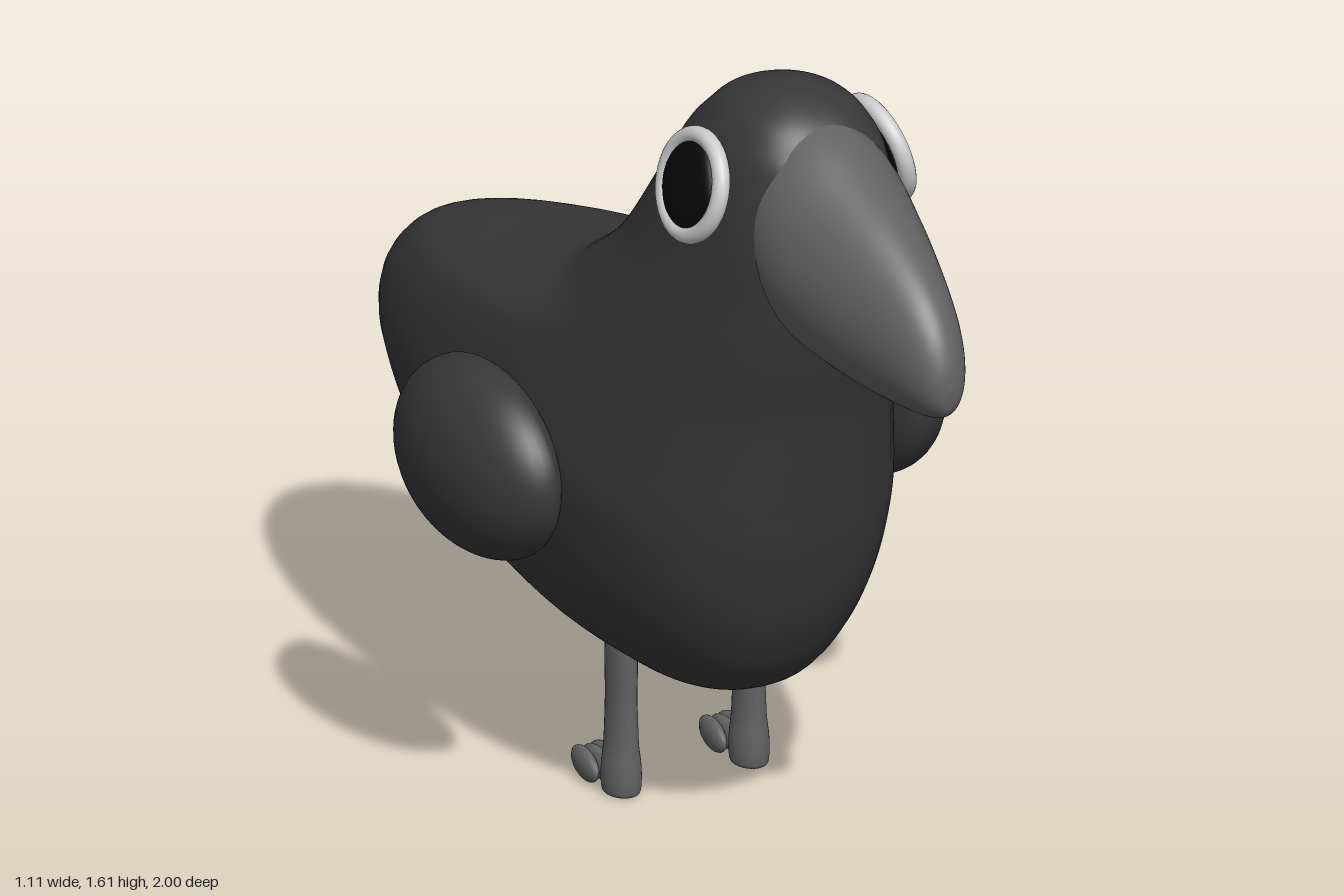
import * as THREE from 'three';

const mat = (color) => new THREE.MeshStandardMaterial({ color, roughness: 0.8 });
const dark = mat(0x383838), horn = mat(0x626262), white = mat(0xdddddd), black = mat(0x080808);

function mesh(name, geometry, material) {
  const m = new THREE.Mesh(geometry, material);
  m.name = name;
  return m;
}

// Smooth skin through rings; point(row, angle) gives a Vector3, rows are splined first
function loft(rows, rings, sides, point) {
  const a = new THREE.CatmullRomCurve3(rows.map((r) => new THREE.Vector3(r[0], r[1], r[2])), false, 'catmullrom', 0.5);
  const b = new THREE.CatmullRomCurve3(rows.map((r) => new THREE.Vector3(r[3], r[4] ?? 0, 0)), false, 'catmullrom', 0.5);
  const pos = [], index = [];
  for (let i = 0; i <= rings; i++) {
    const p = a.getPoint(i / rings), q = b.getPoint(i / rings);
    const row = [p.x, p.y, p.z, Math.max(q.x, 0), q.y];
    for (let j = 0; j < sides; j++) {
      pos.push(...point(row, (j / sides) * Math.PI * 2).toArray());
      if (i === rings) continue;
      const k = (j + 1) % sides, s = i * sides, t = s + sides;
      index.push(s + j, s + k, t + j, s + k, t + k, t + j);
    }
  }
  const g = new THREE.BufferGeometry();
  g.setAttribute('position', new THREE.Float32BufferAttribute(pos, 3));
  g.setIndex(index);
  g.computeVertexNormals();
  return g;
}

// Body and head: horizontal slices [y, front z, back z, half width, z of widest point]
function makeBody() {
  const rows = [
    [0.25, 0.03, 0.03, 0, 0.03], [0.265, 0.18, -0.13, 0.09, 0.02], [0.3, 0.3, -0.32, 0.15, 0],
    [0.36, 0.37, -0.53, 0.22, -0.03], [0.45, 0.425, -0.75, 0.28, -0.05], [0.55, 0.465, -0.89, 0.315, -0.05],
    [0.66, 0.495, -0.975, 0.333, -0.05], [0.74, 0.51, -1, 0.335, -0.05], [0.82, 0.525, -0.97, 0.323, -0.04],
    [0.9, 0.54, -0.87, 0.308, -0.02], [0.95, 0.55, -0.71, 0.298, 0], [0.99, 0.56, -0.5, 0.288, 0.05],
    [1.04, 0.575, -0.29, 0.275, 0.12], [1.1, 0.59, -0.18, 0.26, 0.18], [1.19, 0.61, -0.07, 0.235, 0.25],
    [1.33, 0.62, 0.035, 0.208, 0.33], [1.47, 0.59, 0.14, 0.178, 0.36], [1.53, 0.55, 0.2, 0.15, 0.375],
    [1.57, 0.51, 0.25, 0.115, 0.38], [1.6, 0.45, 0.33, 0.055, 0.39], [1.61, 0.39, 0.39, 0, 0.39],
  ];
  return mesh('body', loft(rows, 120, 64, ([y, front, back, half, mid], u) => {
    const c = Math.cos(u), s = -Math.sin(u);
    const e = s > 0 ? 2 / 2.4 : 1; // blunter chest, elliptical tail
    const x = half * Math.sign(c) * Math.abs(c) ** e;
    const z = mid + Math.abs(s) ** e * (s > 0 ? front - mid : back - mid);
    return new THREE.Vector3(x, y, z);
  }), dark);
}

// Beak: upright slices [z, top y, bottom y, half width]
function makeBeak() {
  const rows = [
    [0.42, 1.58, 1.13, 0.15], [0.55, 1.55, 1.108, 0.165], [0.68, 1.487, 1.09, 0.142], [0.8, 1.422, 1.084, 0.11],
    [0.9, 1.352, 1.088, 0.08], [0.96, 1.285, 1.098, 0.055], [0.99, 1.222, 1.12, 0.03], [1, 1.165, 1.165, 0],
  ];
  return mesh('beak', loft(rows, 56, 48, ([z, top, bottom, half], u) => new THREE.Vector3(
    half * Math.cos(u), (top + bottom) / 2 + ((top - bottom) / 2) * Math.sin(u), z)), horn);
}

// Wing: egg-shaped pad, flatter on the side facing the body
function makeWing(side) {
  const g = new THREE.SphereGeometry(1, 48, 32);
  const p = g.attributes.position;
  for (let i = 0; i < p.count; i++) {
    const x = p.getX(i);
    p.setXYZ(i, x * (x * side > 0 ? 0.135 : 0.075), p.getY(i) * 0.198, p.getZ(i) * 0.262);
  }
  g.computeVertexNormals();
  const wing = mesh(side > 0 ? 'leftWing' : 'rightWing', g, dark);
  wing.position.set(0.42 * side, 0.747, -0.057);
  return wing;
}

// Eye: pale rim around a dark bulging lens, leaning up along the head
function makeEye(side) {
  const eye = new THREE.Group();
  eye.name = side > 0 ? 'leftEye' : 'rightEye';
  const rim = mesh('eyeRim', new THREE.TorusGeometry(0.098, 0.018, 16, 48), white);
  const pupil = mesh('pupil', new THREE.SphereGeometry(0.087, 32, 24), black);
  pupil.scale.z = 0.32;
  pupil.position.z = 0.006;
  eye.add(rim, pupil);
  eye.position.set(0.204 * side, 1.42, side > 0 ? 0.39 : 0.365);
  eye.lookAt(eye.position.clone().add(new THREE.Vector3(side, 0.27, 0)));
  return eye;
}

// Leg: flattened shank with a heel and three toes; rows are [y, half width, half depth, centre z]
function makeLeg(side) {
  const leg = new THREE.Group();
  leg.name = side > 0 ? 'leftLeg' : 'rightLeg';
  const rows = [
    [0, 0, 0, -0.12], [0.002, 0.03, 0.038, -0.122], [0.02, 0.037, 0.046, -0.122], [0.06, 0.037, 0.046, -0.122],
    [0.11, 0.031, 0.043, -0.124], [0.2, 0.027, 0.042, -0.126], [0.33, 0.025, 0.041, -0.126],
    [0.34, 0, 0, -0.126],
  ];
  leg.add(mesh('shank', loft(rows, 42, 24, ([y, rx, rz, z], u) => new THREE.Vector3(
    rx * Math.cos(u), y, z - rz * Math.sin(u)), ), horn));
  for (const i of [-1, 0, 1]) {
    const toe = mesh('toe', new THREE.SphereGeometry(1, 20, 16), horn);
    toe.scale.set(0.017, 0.031, 0.056);
    toe.position.set(i * 0.026, 0.034, i ? -0.092 : -0.085);
    toe.rotation.set(0.12, i * 0.12, 0);
    leg.add(toe);
  }
  leg.position.x = 0.145 * side;
  return leg;
}

export function createModel() {
  const bird = new THREE.Group();
  bird.name = 'bird';
  bird.add(makeBody(), makeBeak());
  for (const side of [1, -1]) bird.add(makeWing(side), makeEye(side), makeLeg(side));
  return bird;
}
